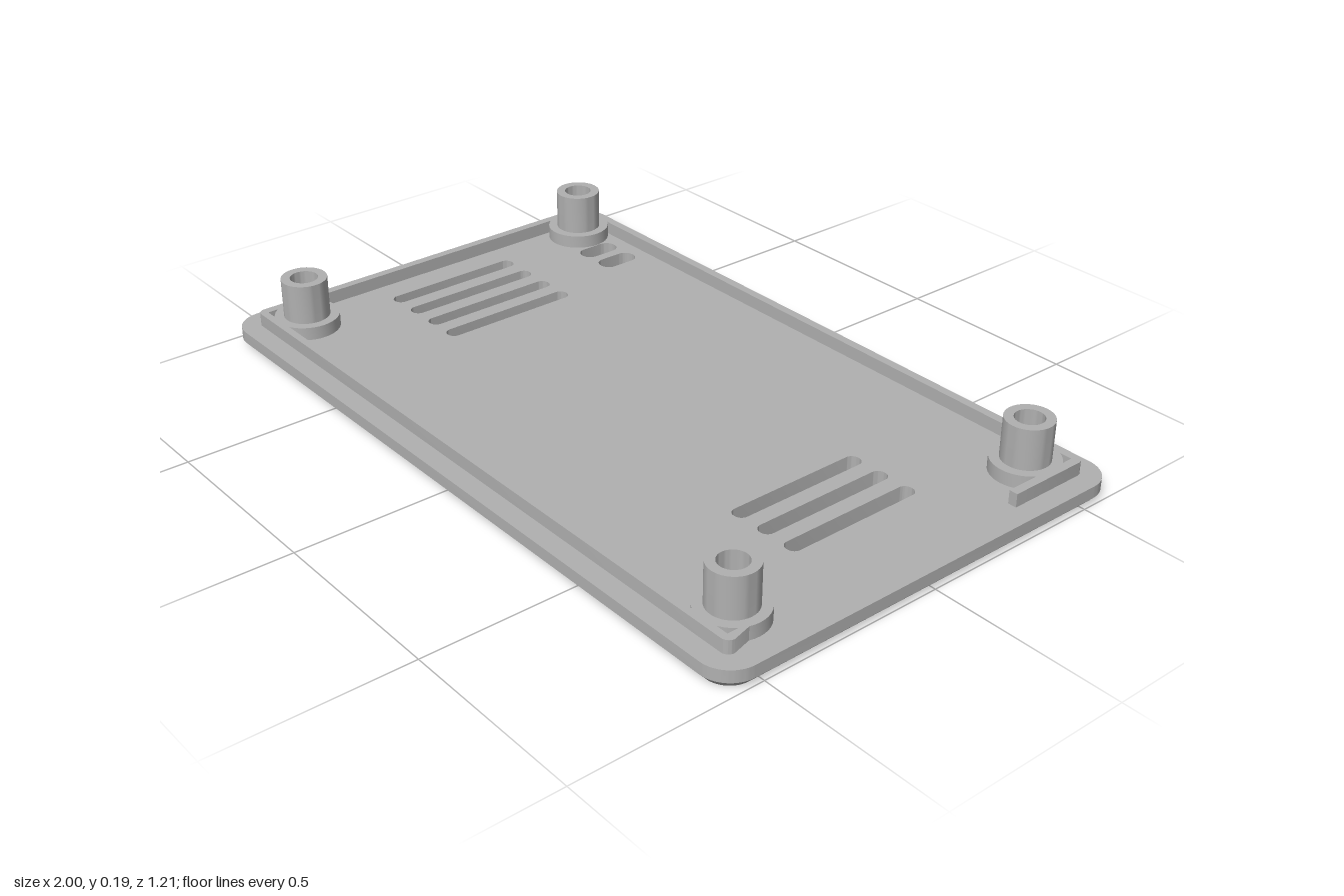
import * as THREE from 'three';
import { toCreasedNormals } from 'three/addons/utils/BufferGeometryUtils.js';

const HALF_X = 1, HALF_Z = 0.606, CORNER = 0.08;
const PLATE_TOP = 0.052, CHAMFER_Y = 0.02, CHAMFER_IN = 0.018, LIP_TOP = 0.0875;
const POST_X = 0.85, POST_Z = 0.456, BORE = 0.06;

// Rounded rectangle, drawn in (x, z)
function roundedRect(target, cx, cz, hx, hz, r) {
  target.moveTo(cx + hx, cz - hz + r);
  target.absarc(cx + hx - r, cz + hz - r, r, 0, Math.PI / 2);
  target.absarc(cx - hx + r, cz + hz - r, r, Math.PI / 2, Math.PI);
  target.absarc(cx - hx + r, cz - hz + r, r, Math.PI, Math.PI * 1.5);
  target.absarc(cx + hx - r, cz - hz + r, r, Math.PI * 1.5, Math.PI * 2);
  target.closePath();
  return target;
}

// Extrude an (x, z) outline upwards between two heights
function slab(shape, y0, y1, steps = 1) {
  const geo = new THREE.ExtrudeGeometry(shape, { depth: y1 - y0, steps, bevelEnabled: false, curveSegments: 10 });
  return geo.rotateX(Math.PI / 2).translate(0, y1, 0);
}

function plateGeometry() {
  const shape = roundedRect(new THREE.Shape(), 0, 0, HALF_X, HALF_Z, CORNER);
  const slot = (x, z, hx, hz) => shape.holes.push(roundedRect(new THREE.Path(), x, z, hx, hz, hx * 0.95));
  for (const x of [-0.827, -0.741, -0.655, -0.57, 0.567, 0.653, 0.739]) slot(x, 0, 0.0215, 0.197);
  for (const x of [-0.733, -0.647]) slot(x, -0.438, 0.029, 0.058);
  for (const x of [-POST_X, POST_X]) for (const z of [-POST_Z, POST_Z]) {
    shape.holes.push(new THREE.Path().absarc(x, z, BORE, 0, Math.PI * 2));
  }

  // Chamfer the lower outer edge only
  const geo = slab(shape, 0, PLATE_TOP, 2);
  const pos = geo.attributes.position;
  const coreX = HALF_X - CORNER, coreZ = HALF_Z - CORNER;
  for (let i = 0; i < pos.count; i++) {
    const x = pos.getX(i), y = pos.getY(i), z = pos.getZ(i);
    if (y > 0.01 && y < 0.04) pos.setY(i, CHAMFER_Y);
    const outer = Math.abs(x) > 0.96 || Math.abs(z) > 0.55;
    if (outer && y < 0.01) {
      const px = THREE.MathUtils.clamp(x, -coreX, coreX);
      const pz = THREE.MathUtils.clamp(z, -coreZ, coreZ);
      const k = 1 - CHAMFER_IN / CORNER;
      pos.setXYZ(i, px + (x - px) * k, 0, pz + (z - pz) * k);
    }
  }
  return toCreasedNormals(geo, 0.5);
}

// Raised lip: front, left-hand and back walls, with short returns at the open end
function lipGeometry() {
  const ox = 0.945, oz = 0.553, ix = 0.922, iz = 0.533, r = 0.02;
  const s = new THREE.Shape();
  s.moveTo(ox, 0.445);
  s.absarc(ox - r, oz - r, r, 0, Math.PI / 2);
  s.absarc(-ox + r, oz - r, r, Math.PI / 2, Math.PI);
  s.absarc(-ox + r, -oz + r, r, Math.PI, Math.PI * 1.5);
  s.absarc(ox - r, -oz + r, r, Math.PI * 1.5, Math.PI * 2);
  s.lineTo(ox, -0.318);
  s.lineTo(ix, -0.318);
  s.lineTo(ix, -iz);
  s.lineTo(-ix, -iz);
  s.lineTo(-ix, iz);
  s.lineTo(ix, iz);
  s.lineTo(ix, 0.445);
  s.closePath();
  return toCreasedNormals(slab(s, PLATE_TOP, LIP_TOP), 0.5);
}

// Stepped hollow post with a wide screw recess underneath
function postGeometry() {
  const profile = [
    [0.086, PLATE_TOP], [0.086, LIP_TOP], [0.061, LIP_TOP], [0.061, 0.195],
    [0.037, 0.195], [0.037, 0.072], [BORE, 0.072], [BORE, PLATE_TOP],
  ].map(([x, y]) => new THREE.Vector2(x, y));
  return toCreasedNormals(new THREE.LatheGeometry(profile, 40), 0.5);
}

export function createModel() {
  const grey = new THREE.MeshStandardMaterial({ color: 0xb0b0b0 });
  grey.name = 'grey plastic';
  const model = new THREE.Group();
  model.name = 'enclosureLid';
  const add = (name, geo) => {
    const mesh = new THREE.Mesh(geo, grey);
    mesh.name = name;
    model.add(mesh);
    return mesh;
  };

  add('ventedPlate', plateGeometry());
  add('lip', lipGeometry());

  const post = postGeometry();
  for (const [side, x] of [['Left', POST_X], ['Right', -POST_X]]) {
    for (const [end, z] of [['front', POST_Z], ['back', -POST_Z]]) {
      add(`${end}${side}Post`, post).position.set(x, 0, z);
    }
  }
  return model;
}
